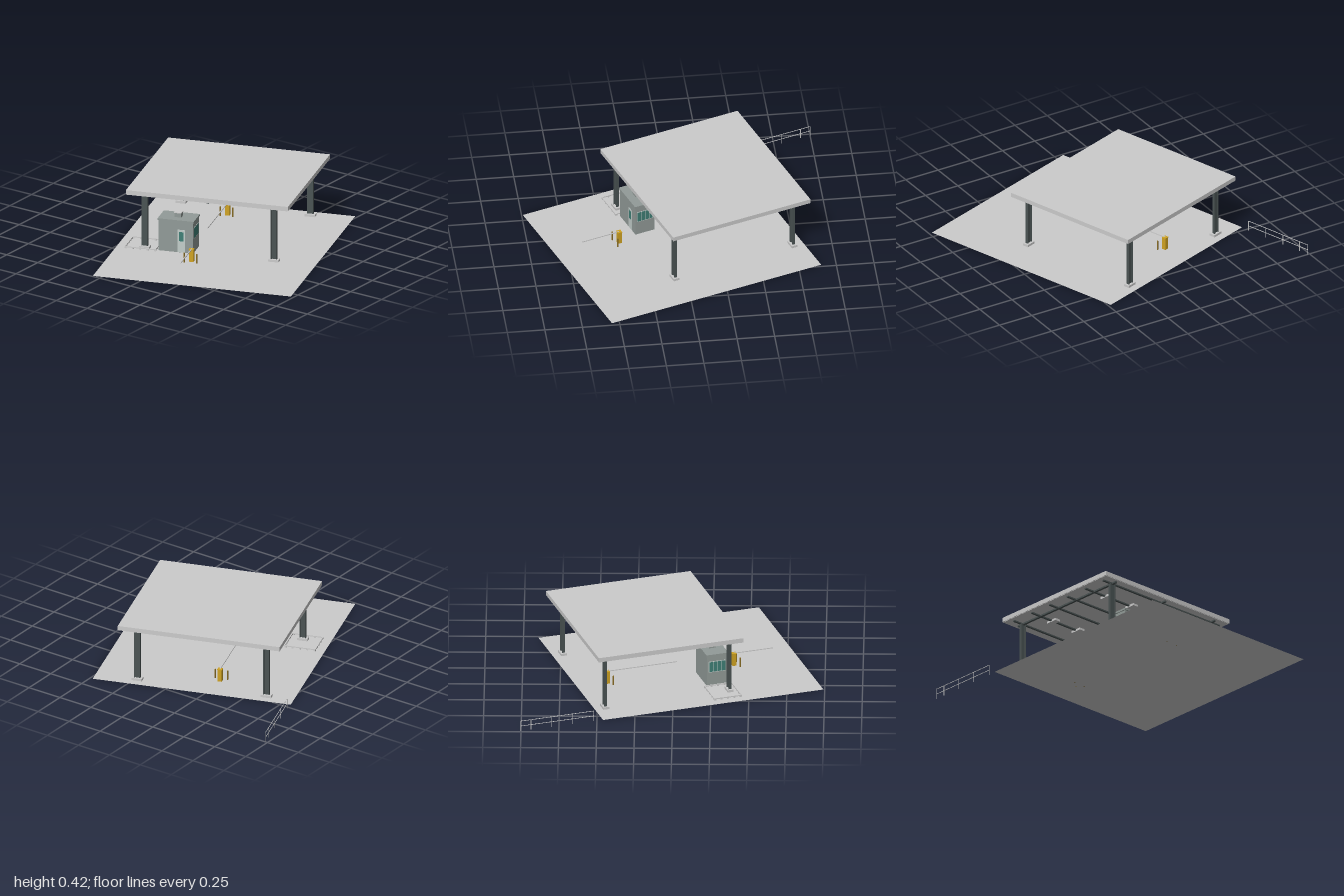
import * as THREE from 'three';

const mat = (color, side = THREE.FrontSide) => new THREE.MeshStandardMaterial({ color, side, flatShading: true });
const GREY = mat(0xcccccc), STEEL = mat(0x4a5353), WALL = mat(0x929b98), DOOR = mat(0xc3cecb),
  GLASS = mat(0x3f7f76), YELLOW = mat(0xd0a322), BOLLARD = mat(0x8a6d24);

// Box given by its centre in x and z and its bottom height
function box(parent, name, w, h, d, x, y, z, material = GREY) {
  const mesh = new THREE.Mesh(new THREE.BoxGeometry(w, h, d), material);
  mesh.name = name;
  mesh.position.set(x, y + h / 2, z);
  parent.add(mesh);
  return mesh;
}

function group(parent, name, x = 0, z = 0) {
  const g = new THREE.Group();
  g.name = name;
  g.position.set(x, 0, z);
  parent.add(g);
  return g;
}

// H-section column on a base block
function column(parent, x, z) {
  const g = group(parent, 'column', x, z);
  box(g, 'columnBase', 0.071, 0.016, 0.041, 0, 0, 0);
  box(g, 'columnWeb', 0.036, 0.37, 0.005, 0, 0.016, 0, STEEL);
  for (const s of [-1, 1]) box(g, 'columnFlange', 0.006, 0.37, 0.02, s * 0.018, 0.016, 0, STEEL);
}

// Yellow cabinet with a swinging arm and two guard bollards
function barrier(parent, x, z, armLength) {
  const g = group(parent, 'barrier', x, z);
  box(g, 'barrierCabinet', 0.03, 0.085, 0.028, 0, 0, 0, YELLOW);
  box(g, 'barrierCap', 0.033, 0.004, 0.031, 0, 0.083, 0, YELLOW);
  box(g, 'barrierArm', 0.006, 0.006, armLength, 0, 0.083, armLength / 2, GREY);
  for (const s of [-1, 1]) {
    const b = new THREE.Mesh(new THREE.CylinderGeometry(0.005, 0.005, 0.065, 12), BOLLARD);
    b.name = 'bollard';
    b.position.set(s * 0.043, 0.0325, 0.03);
    g.add(b);
  }
}

function canopy(parent) {
  const g = group(parent, 'canopy');
  box(g, 'roofSlab', 1.115, 0.03, 1.006, 0, 0.388, 0);
  box(g, 'roofEdge', 1.108, 0.004, 1.0, 0, 0.385, 0);
  for (let i = 0; i < 6; i++) box(g, 'crossBeam', 1.05, 0.01, 0.014, 0, 0.376, -0.433 + i * 0.1732 + 0.008, STEEL);
  for (const x of [-0.4445, 0, 0.4445]) box(g, 'mainBeam', 0.016, 0.012, 0.95, x, 0.374, 0.008, STEEL);
  // ceiling lights
  for (const x of [-0.33, -0.11, 0.11, 0.33])
    for (const z of [-0.25, 0.27]) box(g, 'ceilingLight', 0.04, 0.016, 0.08, x, 0.37, z);
  for (const x of [-0.4445, 0.4445]) for (const z of [-0.425, 0.441]) column(g, x, z);
}

function booth(parent) {
  const w = 0.236, d = 0.14;
  const g = group(parent, 'booth', -0.226, 0.391);
  box(g, 'boothBody', w, 0.216, d, 0, 0, 0, WALL);
  box(g, 'boothRoof', w + 0.012, 0.013, d + 0.012, 0, 0.215, 0, WALL);
  box(g, 'roofUnit', 0.046, 0.03, 0.046, 0, 0.228, 0, WALL);
  box(g, 'roofUnitLid', 0.05, 0.004, 0.05, 0, 0.257, 0);
  // front door
  box(g, 'door', 0.05, 0.158, 0.004, 0.038, 0.002, d / 2, DOOR);
  box(g, 'doorGlass', 0.032, 0.065, 0.004, 0.038, 0.08, d / 2 + 0.001, GLASS);
  // side windows with four panes
  for (const s of [-1, 1]) {
    box(g, 'windowFrame', 0.004, 0.078, 0.118, s * w / 2, 0.099, 0, DOOR);
    for (let i = 0; i < 4; i++)
      box(g, 'windowPane', 0.004, 0.07, 0.025, s * (w / 2 + 0.001), 0.103, (i - 1.5) * 0.0285, GLASS);
  }
}

// Low rail around the column beside the booth
function lowRail(parent) {
  const w = 0.21, d = 0.187;
  const g = group(parent, 'lowRail', -0.464, 0.392);
  for (const s of [-1, 1]) {
    box(g, 'railLong', w, 0.007, 0.006, 0, 0.008, s * d / 2);
    box(g, 'railShort', 0.006, 0.007, d, s * w / 2, 0.008, 0);
    for (let i = 0; i < 5; i++) {
      box(g, 'railFoot', 0.012, 0.009, 0.005, (i - 2) * 0.05, 0, s * d / 2);
      box(g, 'railFoot', 0.005, 0.009, 0.012, s * w / 2, 0, (i - 2) * 0.044);
    }
  }
}

function fence(parent) {
  const len = 0.509;
  const g = group(parent, 'fence', -0.624, -0.559);
  for (const y of [0.034, 0.07]) box(g, 'fenceRail', 0.003, 0.003, len, 0, y, -len / 2);
  for (const t of [0, 0.148, 0.296, 0.438, len]) box(g, 'fencePost', 0.003, 0.072, 0.003, 0, 0, -t);
}

export function createModel() {
  const model = new THREE.Group();
  model.name = 'checkpoint';
  // The whole site is turned on its vertical axis
  const site = group(model, 'site', -0.05, -0.193);
  site.rotation.y = THREE.MathUtils.degToRad(18.9);

  const ground = new THREE.Mesh(new THREE.PlaneGeometry(1.363, 1.534), mat(0xcccccc, THREE.DoubleSide));
  ground.name = 'ground';
  ground.rotation.x = -Math.PI / 2;
  ground.position.set(0.05, 0, 0.269);
  site.add(ground);

  canopy(site);
  booth(site);
  lowRail(site);
  barrier(site, -0.078, 0.595, 0.27);
  barrier(site, -0.085, -0.29, 0.485);
  fence(site);
  return model;
}
